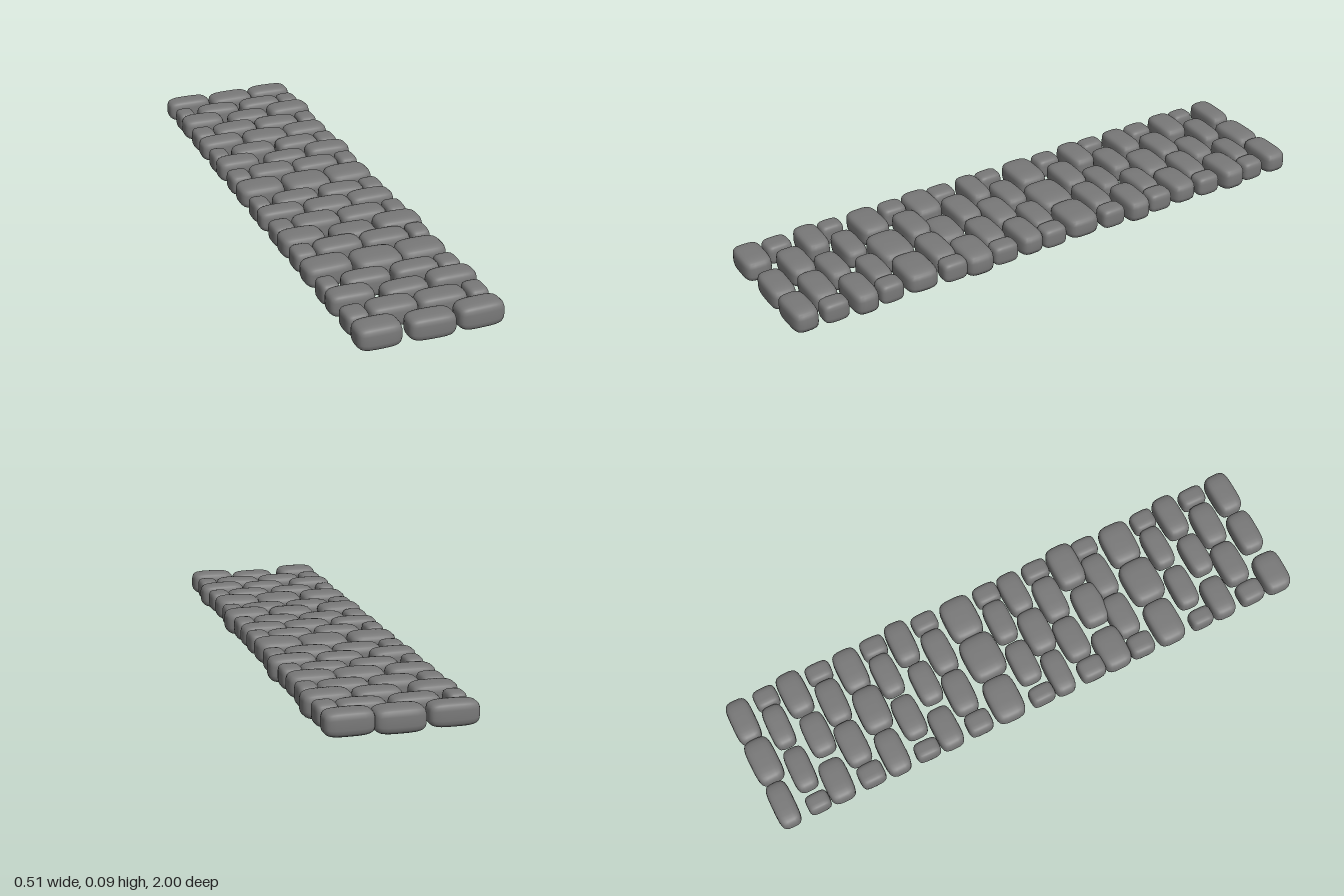
import * as THREE from 'three';

// Stone layouts per course: [x0, x1, y0, y1, dz0, dz1] (dz shifts the back/front limits)
const COURSES = {
  A: [[-0.255, -0.09, 0.01, 0.09, 0.005, -0.005], [-0.085, 0.083, 0.003, 0.087, 0, 0.008], [0.078, 0.24, 0.008, 0.09, 0, -0.003]],
  B: [[-0.25, -0.185, 0.01, 0.085, 0.008, 0.005], [-0.165, -0.003, 0.007, 0.086, 0.003, 0], [0.008, 0.168, 0.006, 0.086, 0, -0.005], [0.163, 0.238, 0.01, 0.085, 0, 0]],
  C: [[-0.255, -0.1, 0.01, 0.092, 0, 0], [-0.076, 0.082, 0.003, 0.085, 0.012, 0.008], [0.088, 0.252, 0.005, 0.092, 0, 0]],
  D: [[-0.25, -0.17, 0.01, 0.085, 0.008, 0.008], [-0.165, 0, 0.007, 0.086, -0.004, -0.002], [0, 0.168, 0.006, 0.086, 0, 0], [0.168, 0.238, 0.01, 0.085, 0, 0]],
  E: [[-0.255, -0.105, 0.01, 0.092, 0, 0], [-0.08, 0.08, 0.003, 0.083, 0, -0.01], [0.085, 0.243, 0.008, 0.092, 0, -0.01]],
};

// Courses from back to front: [layout, back z, front z]
const ROWS = [
  ['A', -1, -0.91], ['B', -0.895, -0.81], ['C', -0.805, -0.71], ['D', -0.697, -0.605],
  ['A', -0.595, -0.495], ['B', -0.487, -0.395], ['C', -0.39, -0.3], ['D', -0.287, -0.195],
  ['A', -0.18, -0.055], ['B', -0.045, 0.048], ['A', 0.048, 0.14], ['D', 0.15, 0.245],
  ['C', 0.248, 0.355], ['D', 0.348, 0.44], ['A', 0.455, 0.575], ['B', 0.588, 0.675],
  ['C', 0.683, 0.772], ['D', 0.787, 0.88], ['E', 0.895, 0.995],
];

// Rounded cobble: a subdivided box pulled onto a superellipsoid, with matching smooth normals
function stoneGeometry(w, h, d) {
  const power = 4;
  const geo = new THREE.BoxGeometry(2, 2, 2, 10, 8, 8);
  const pos = geo.attributes.position, nor = geo.attributes.normal;
  const half = [w / 2, h / 2, d / 2];
  for (let i = 0; i < pos.count; i++) {
    // ease the spacing so more vertices land on the rounded edges
    const c = [pos.getX(i), pos.getY(i), pos.getZ(i)].map((v) => Math.sin(v * Math.PI / 2));
    const len = c.reduce((s, v) => s + Math.abs(v) ** power, 0) ** (1 / power);
    const u = c.map((v) => v / len);
    pos.setXYZ(i, ...u.map((v, k) => v * half[k]));
    const n = new THREE.Vector3(...u.map((v, k) => Math.sign(v) * Math.abs(v) ** (power - 1) / half[k])).normalize();
    nor.setXYZ(i, n.x, n.y, n.z);
  }
  return geo;
}

export function createModel() {
  const model = new THREE.Group();
  model.name = 'cobblestonePath';
  const material = new THREE.MeshStandardMaterial({ color: 0x797979 });

  ROWS.forEach(([layout, z0, z1], r) => {
    const row = new THREE.Group();
    row.name = `stoneRow${r + 1}`;
    COURSES[layout].forEach(([x0, x1, y0, y1, dz0, dz1], s) => {
      const back = z0 + dz0, front = z1 + dz1;
      const stone = new THREE.Mesh(stoneGeometry(x1 - x0, y1 - y0, front - back), material);
      stone.name = `stone${s + 1}`;
      stone.position.set((x0 + x1) / 2, (y0 + y1) / 2, (back + front) / 2);
      // slight uneven lie
      stone.rotation.set(0, 0.02 * Math.sin(r * 2.3 + s * 1.7), 0.015 * Math.sin(r * 1.9 + s * 2.9));
      row.add(stone);
    });
    model.add(row);
  });

  // settle on the ground, centred
  const box = new THREE.Box3().setFromObject(model, true);
  const centre = box.getCenter(new THREE.Vector3());
  model.children.forEach((row) => row.position.set(-centre.x, -box.min.y, -centre.z));
  return model;
}
